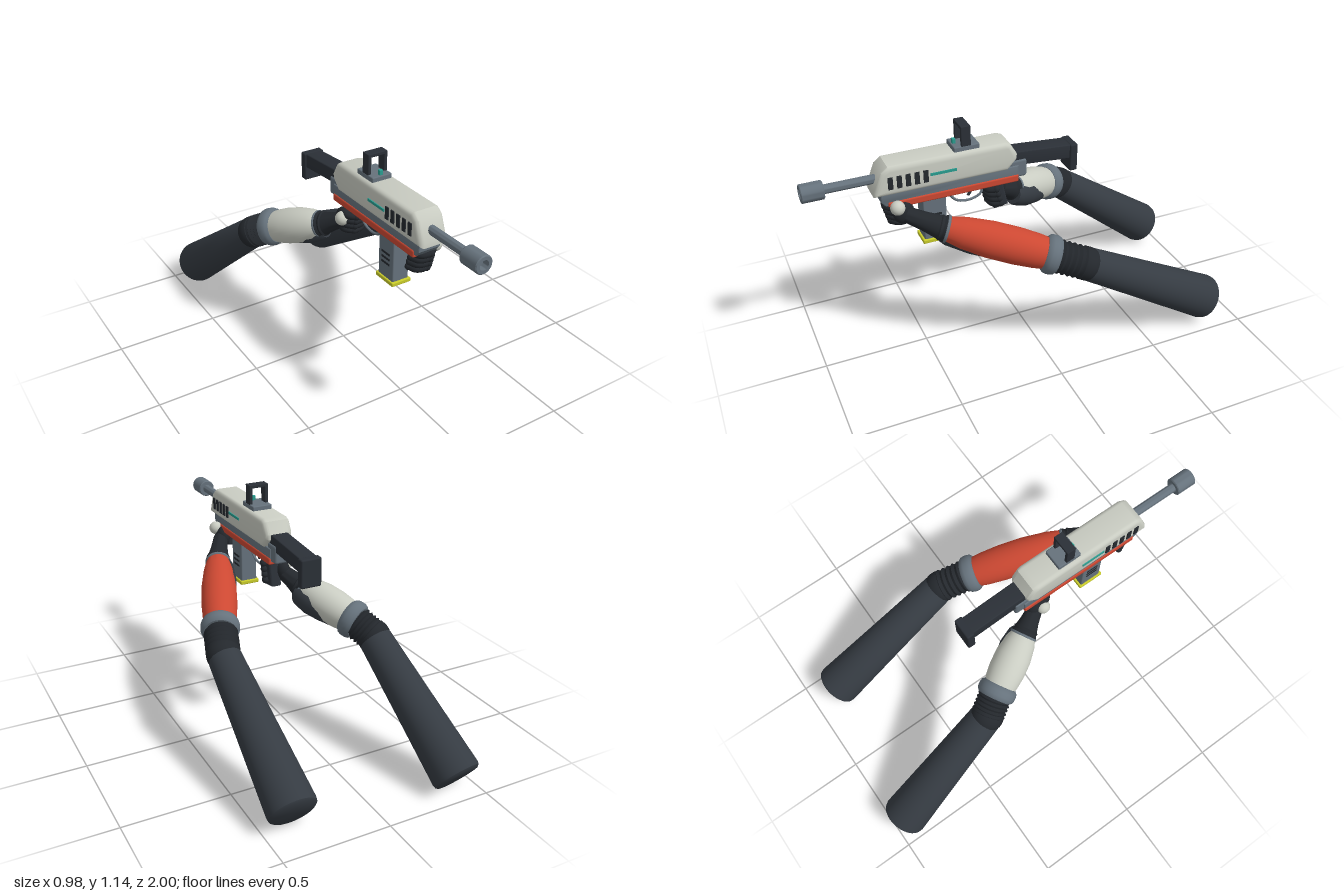
import * as THREE from 'three';
import { RoundedBoxGeometry } from 'three/addons/geometries/RoundedBoxGeometry.js';
import { toCreasedNormals } from 'three/addons/utils/BufferGeometryUtils.js';

const material = (name, color) => {
  const m = new THREE.MeshStandardMaterial({ color });
  m.name = name;
  return m;
};
const V = (p) => new THREE.Vector3(...p);
const AXIS_X = -0.01; // centre plane of the rifle

export function createModel() {
  const shell = material('pale shell', 0xc9ccc2);
  const red = material('red panel', 0xcc4832);
  const sleeve = material('charcoal sleeve', 0x353b42);
  const glove = material('black glove', 0x24282d);
  const stockDark = material('dark polymer', 0x2b3037);
  const metal = material('grey metal', 0x66727c);
  const yellow = material('yellow base', 0xc9cc2a);
  const teal = material('teal light', 0x2a9d90);

  const model = new THREE.Group();
  model.name = 'riflePose';
  const rifle = new THREE.Group();
  rifle.name = 'rifle';
  rifle.position.x = AXIS_X;
  model.add(rifle);

  const add = (parent, name, geo, mat, pos) => {
    const mesh = new THREE.Mesh(geo, mat);
    mesh.name = name;
    if (pos) mesh.position.set(...pos);
    parent.add(mesh);
    return mesh;
  };
  // Box given by width and its y and z ranges, centred on the rifle
  const block = (name, mat, w, y0, y1, z0, z1, r = 0.006, x = 0) =>
    add(rifle, name, r ? new RoundedBoxGeometry(w, y1 - y0, z1 - z0, 2, r)
      : new THREE.BoxGeometry(w, y1 - y0, z1 - z0), mat, [x, (y0 + y1) / 2, (z0 + z1) / 2]);
  // Side outline in (z, y), extruded across the width with rounded edges
  const slab = (name, mat, pts, w, bevel) => {
    const geo = new THREE.ExtrudeGeometry(new THREE.Shape(pts.map((p) => new THREE.Vector2(...p))), {
      depth: w - 2 * bevel, bevelThickness: bevel, bevelSize: bevel, bevelOffset: -bevel, bevelSegments: 4,
    });
    geo.translate(0, 0, -(w - 2 * bevel) / 2).rotateY(-Math.PI / 2);
    return add(rifle, name, toCreasedNormals(geo, 0.6), mat);
  };
  // Turned solid between two points; profile holds [fraction along, radius]
  const limb = (parent, name, mat, a, b, profile, sides = 32) => {
    const from = V(a), dir = V(b).sub(from), len = dir.length();
    const geo = new THREE.LatheGeometry(profile.map(([t, r]) => new THREE.Vector2(r, t * len)), sides);
    const mesh = add(parent, name, toCreasedNormals(geo, 0.7), mat, a);
    mesh.quaternion.setFromUnitVectors(new THREE.Vector3(0, 1, 0), dir.normalize());
    return mesh;
  };
  const tube = (parent, name, mat, pts, r) => add(parent, name,
    new THREE.TubeGeometry(new THREE.CatmullRomCurve3(pts.map(V)), 20, r, 10), mat);

  // Receiver
  slab('receiver', shell, [[0.7, 0.892], [0.698, 0.915], [0.662, 1.005], [0.63, 1.03], [0.085, 1.03],
    [0.06, 1.02], [0.028, 0.965], [0.03, 0.94], [0.075, 0.892]], 0.14, 0.022);
  slab('lowerRail', metal, [[0.67, 0.9], [0.67, 0.86], [0.65, 0.835], [0.02, 0.835], [0.02, 0.9]], 0.112, 0.006);
  block('rearBlock', metal, 0.1, 0.835, 0.925, -0.025, 0.06, 0.012);
  block('redStrip', red, 0.122, 0.82, 0.856, 0.02, 0.64, 0.008);

  // Barrel and hollow muzzle
  limb(rifle, 'barrel', metal, [0, 0.955, 0.64], [0, 0.955, 0.97], [[0, 0], [0, 0.021], [1, 0.021], [1, 0]]);
  limb(rifle, 'muzzle', metal, [0, 0.955, 0.9], [0, 0.955, 1],
    [[0, 0], [0, 0.038], [0.04, 0.042], [0.96, 0.042], [1, 0.038], [1, 0.022], [0.5, 0.022]]);

  // Vent slots and light strips on both sides
  for (const s of [-1, 1]) {
    for (let i = 0; i < 5; i++)
      block('ventSlot', glove, 0.009, 0.927, 0.985, 0.455 + i * 0.04, 0.477 + i * 0.04, 0, s * 0.0705);
    block('lightStrip', teal, 0.009, 0.953, 0.965, 0.325, 0.445, 0, s * 0.0705);
  }

  // Sight: base, square frame and light
  block('sightBase', metal, 0.1, 1.025, 1.052, 0.205, 0.325, 0.005);
  for (const s of [-1, 1]) block('sightPost', stockDark, 0.016, 1.045, 1.145, 0.245, 0.29, 0.003, s * 0.041);
  block('sightTop', stockDark, 0.098, 1.129, 1.145, 0.245, 0.29, 0.003);
  block('sightLight', teal, 0.018, 1.05, 1.075, 0.302, 0.318, 0.003);

  // Stock
  slab('stockArm', stockDark, [[0.06, 0.968], [-0.26, 0.942], [-0.26, 0.872], [0.06, 0.898]], 0.088, 0.006);
  block('buttPlate', stockDark, 0.104, 0.808, 0.945, -0.284, -0.245, 0.008);

  // Magazine with side grooves
  block('magazine', metal, 0.084, 0.6, 0.85, 0.37, 0.48, 0.006);
  block('magazineBase', yellow, 0.1, 0.592, 0.612, 0.36, 0.49, 0.005);
  for (const s of [-1, 1]) for (let i = 0; i < 3; i++)
    block('magazineGroove', glove, 0.006, 0.68 + i * 0.025, 0.69 + i * 0.025, 0.395, 0.455, 0, s * 0.0415);

  // Grips, trigger and guard
  slab('pistolGrip', stockDark, [[0.17, 0.83], [0.13, 0.68], [0.06, 0.69], [0.09, 0.83]], 0.056, 0.01);
  block('foreGrip', stockDark, 0.05, 0.735, 0.83, 0.57, 0.62, 0.012);
  tube(rifle, 'triggerGuard', metal, [[0, 0.83, 0.36], [0, 0.76, 0.31], [0, 0.745, 0.25], [0, 0.765, 0.19], [0, 0.83, 0.17]], 0.006);
  tube(rifle, 'trigger', stockDark, [[0, 0.83, 0.24], [0, 0.795, 0.235], [0, 0.77, 0.25]], 0.007);

  // Arms: hand, forearm with coloured shell, joint rings, elbow, upper arm
  const arms = [
    { name: 'leftArm', side: 1, mat: red, palm: [0.045, 0.79, 0.575], grip: [AXIS_X, 0.79, 0.595],
      knuckle: [0.068, 0.832, 0.605], wrist: [0.06, 0.785, 0.565], start: [0.135, 0.725, 0.43],
      end: [0.315, 0.58, 0.0], elbow: [0.375, 0.515, -0.17], tip: [0.38, 0.112, -0.86] },
    { name: 'rightArm', side: -1, mat: shell, palm: [-0.055, 0.755, 0.095], grip: [AXIS_X, 0.755, 0.115],
      knuckle: [-0.08, 0.77, 0.115], wrist: [-0.06, 0.745, 0.085], start: [-0.108, 0.695, -0.005],
      end: [-0.235, 0.605, -0.245], elbow: [-0.3, 0.54, -0.36], tip: [-0.383, 0.09, -0.942] },
  ];
  for (const a of arms) {
    const arm = new THREE.Group();
    arm.name = a.name;
    model.add(arm);
    const along = V(a.end).sub(V(a.start)).normalize();
    const shift = (p, d) => V(p).addScaledVector(along, d).toArray();

    // Hand with four fingers curled round the grip
    const palm = add(arm, 'palm', new THREE.SphereGeometry(1, 24, 16), glove, a.palm);
    palm.scale.set(0.036, 0.055, 0.05);
    const [gx, gy, gz] = a.grip;
    for (let i = 0; i < 4; i++) {
      const y = gy + 0.036 - i * 0.026, z = gz - i * 0.007, s = a.side;
      tube(arm, 'finger', glove, [[gx + s * 0.055, y, z - 0.02], [gx + s * 0.057, y, z + 0.025],
        [gx + s * 0.025, y - 0.003, z + 0.05], [gx - s * 0.02, y - 0.004, z + 0.042], [gx - s * 0.038, y, z + 0.01]], 0.0155);
      add(arm, 'fingertip', new THREE.SphereGeometry(0.0165, 12, 10), glove, [gx - s * 0.038, y, z + 0.01]);
      add(arm, 'fingerJoint', new THREE.SphereGeometry(0.0185, 12, 10), glove, [gx + s * 0.025, y - 0.003, z + 0.05]);
    }
    add(arm, 'knuckleGuard', new THREE.SphereGeometry(0.033, 24, 16), shell, a.knuckle);

    // Wrist, cuff and dark inner sleeve showing under the shell
    limb(arm, 'wrist', glove, a.wrist, a.start, [[0, 0], [0, 0.036], [0.5, 0.043], [1, 0.056], [1, 0]]);
    limb(arm, 'cuff', glove, shift(a.start, -0.02), shift(a.start, 0.025),
      [[0, 0], [0, 0.048], [0.25, 0.059], [0.5, 0.055], [0.75, 0.062], [1, 0.058], [1, 0]]);
    limb(arm, 'cuffRing', metal, shift(a.start, 0.012), shift(a.start, 0.03),
      [[0, 0], [0, 0.058], [0.3, 0.064], [0.7, 0.064], [1, 0.058], [1, 0]]);
    const under = (p, t) => [p[0] - a.side * 0.016 * t, p[1] - 0.022 * t, p[2]];
    limb(arm, 'innerSleeve', sleeve, under(a.start, 1), under(a.end, 0.5),
      [[0, 0], [0, 0.05], [0.06, 0.062], [0.3, 0.076], [0.55, 0.074], [1, 0.06], [1, 0]]);
    limb(arm, 'forearmShell', a.mat, a.start, a.end,
      [[0, 0], [0, 0.05], [0.04, 0.057], [0.2, 0.073], [0.45, 0.085], [0.7, 0.086], [0.9, 0.08], [1, 0.073], [1, 0]], 40);

    // Elbow ring, ribbed joint and upper arm
    limb(arm, 'elbowRing', metal, shift(a.end, -0.012), shift(a.end, 0.055),
      [[0, 0], [0, 0.078], [0.15, 0.088], [0.35, 0.092], [0.65, 0.092], [0.85, 0.088], [1, 0.078], [1, 0]]);
    const ribs = [[0, 0]];
    for (let i = 0; i <= 24; i++) ribs.push([i / 24, 0.075 + 0.005 * Math.sin(i * 1.57)]);
    limb(arm, 'elbowRibs', glove, shift(a.end, 0.03), a.elbow, [...ribs, [1, 0]]);
    add(arm, 'elbowJoint', new THREE.SphereGeometry(0.079, 28, 20), glove, a.elbow);
    limb(arm, 'upperArm', sleeve, a.elbow, a.tip,
      [[0, 0], [0, 0.07], [0.03, 0.078], [0.5, 0.094], [0.97, 0.111], [0.99, 0.108], [1, 0.098], [1, 0]], 40);
  }
  return model;
}
